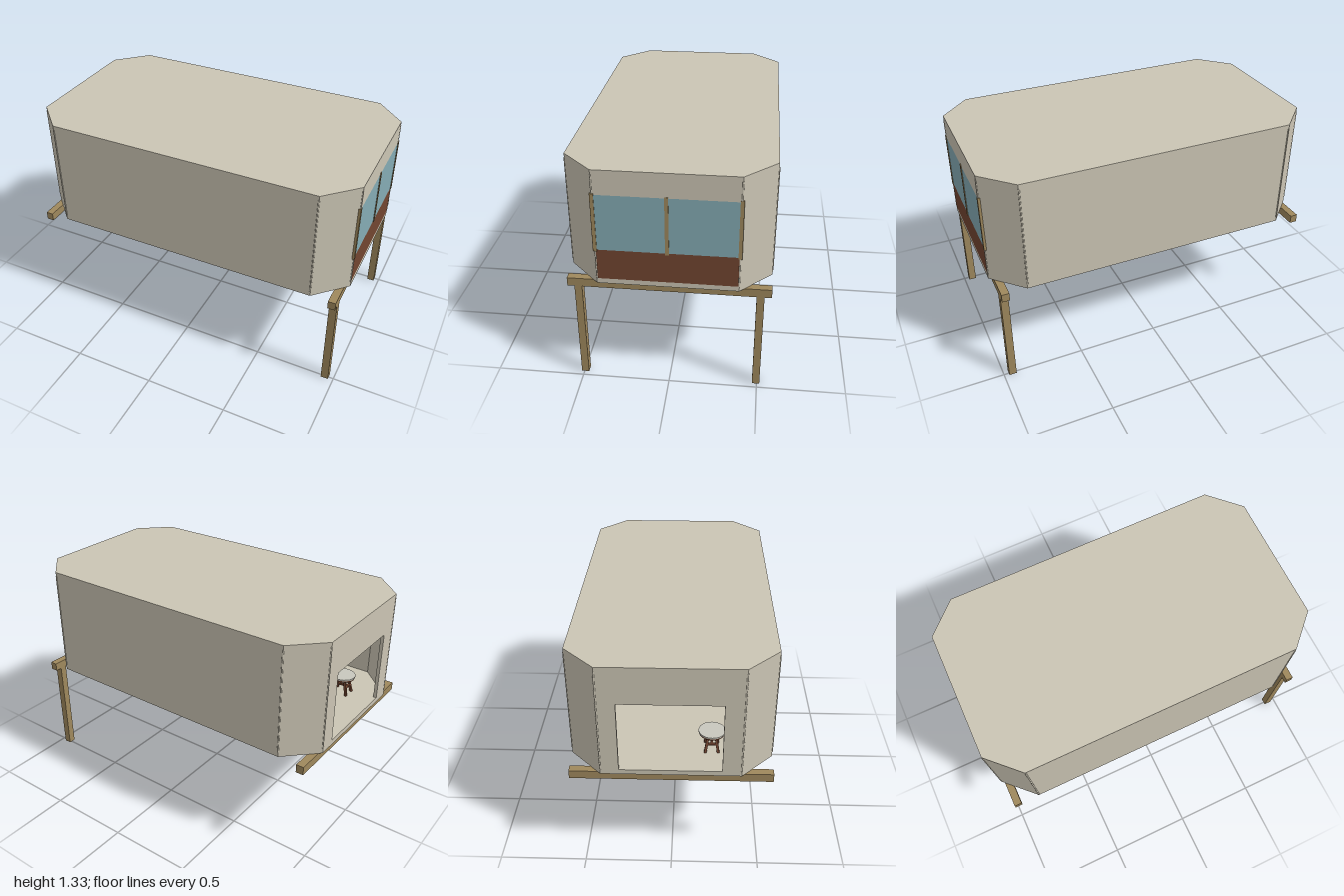
import * as THREE from 'three';

const mat = (name, color) => {
  const m = new THREE.MeshStandardMaterial({ color });
  m.name = name;
  return m;
};

export function createModel() {
  const wall = mat('warm grey wall', 0xcbc5b4);
  const wood = mat('tan timber', 0x9f885d);
  const glass = mat('blue glass', 0x85abb4);
  const brown = mat('brown panel', 0x724530);
  const pale = mat('pale table top', 0xc9c8be);

  const model = new THREE.Group();
  model.name = 'raisedCabin';
  const add = (name, geo, material, x, y, z, parent = model) => {
    const mesh = new THREE.Mesh(geo, material);
    mesh.name = name;
    mesh.position.set(x, y, z);
    parent.add(mesh);
    return mesh;
  };
  // box given by its lower and upper corners
  const block = (name, material, [x0, y0, z0], [x1, y1, z1]) =>
    add(name, new THREE.BoxGeometry(x1 - x0, y1 - y0, z1 - z0), material, (x0 + x1) / 2, (y0 + y1) / 2, (z0 + z1) / 2);

  const X = 0.997, Z = 0.555, CX = 0.82, CZ = 0.38; // octagon plan
  const Y0 = 0.655, Y1 = 0.685, Y2 = 1.305, Y3 = 1.33; // floor and roof levels
  const T = 0.02;
  const plan = [[X, -CZ], [X, CZ], [CX, Z], [-CX, Z], [-X, CZ], [-X, -CZ], [-CX, -Z], [CX, -Z]];

  // floor and roof slabs
  const slab = (name, y0, y1) => {
    const shape = new THREE.Shape(plan.map(([x, z]) => new THREE.Vector2(x, z)));
    const geo = new THREE.ExtrudeGeometry(shape, { depth: y1 - y0, bevelEnabled: false });
    geo.rotateX(-Math.PI / 2);
    add(name, geo, wall, 0, y0, 0);
  };
  slab('floor', Y0, Y1);
  slab('roof', Y2, Y3);

  // long walls, chamfered corner walls and corner strips
  plan.forEach(([ax, az], i) => {
    const [bx, bz] = plan[(i + 1) % 8];
    const dx = bx - ax, dz = bz - az, len = Math.hypot(dx, dz);
    if (i !== 0 && i !== 4) {
      const inX = -dz / len * T / 2, inZ = dx / len * T / 2;
      const panel = add(i % 2 ? 'cornerWall' : 'sideWall', new THREE.BoxGeometry(len, Y2 - Y1, T), wall,
        (ax + bx) / 2 + inX, (Y1 + Y2) / 2, (az + bz) / 2 + inZ);
      panel.rotation.y = Math.atan2(-dz, dx);
    }
    const k = 1 - 0.003 / Math.hypot(ax, az);
    add('cornerStrip', new THREE.CylinderGeometry(0.005, 0.005, Y2 - Y1, 8), wall, ax * k, (Y1 + Y2) / 2, az * k);
  });

  // window end
  block('windowHeader', wall, [X - T, 1.19, -CZ], [X, Y2, CZ]);
  block('windowGlass', glass, [X - T, 0.865, -CZ], [X, 1.19, CZ]);
  block('lowerPanel', brown, [X - T, Y1, -CZ], [X, 0.865, CZ]);
  for (const z of [-CZ, 0, CZ]) block('windowPost', wood, [0.985, 0.857, z - 0.01], [1.001, 1.197, z + 0.01]);

  // open doorway end
  block('doorHeader', wall, [-X, 1.11, -CZ], [-X + T, Y2, CZ]);
  block('doorJamb', wall, [-X, Y1, -CZ], [-X + T, 1.11, -0.28]);
  block('doorJamb', wall, [-X, Y1, 0.275], [-X + T, 1.11, CZ]);

  // support beams, with legs under one end only
  block('beam', wood, [-0.98, 0.605, -Z], [-0.935, Y0, Z]);
  block('beam', wood, [0.925, 0.605, -Z], [0.97, Y0, Z]);
  for (const z of [-0.495, 0.495]) block('leg', wood, [0.925, 0, z - 0.021], [0.97, 0.605, z + 0.021]);

  // small round table inside the doorway
  const table = new THREE.Group();
  table.name = 'table';
  table.position.set(-0.79, Y1, 0.22);
  model.add(table);
  add('tableTop', new THREE.CylinderGeometry(0.075, 0.075, 0.008, 24), pale, 0, 0.116, 0, table);
  add('tableRim', new THREE.CylinderGeometry(0.073, 0.07, 0.012, 24), brown, 0, 0.106, 0, table);
  for (const sx of [-1, 1]) for (const sz of [-1, 1]) {
    const leg = add('tableLeg', new THREE.BoxGeometry(0.014, 0.108, 0.014), brown, sx * 0.036, 0.052, sz * 0.028, table);
    leg.rotation.set(-sz * 0.15, 0, sx * 0.2);
  }
  add('tableBrace', new THREE.BoxGeometry(0.075, 0.012, 0.012), brown, 0, 0.05, 0, table);
  for (const sx of [-1, 1])
    add('tableCrossbar', new THREE.BoxGeometry(0.012, 0.012, 0.06), brown, sx * 0.036, 0.05, 0, table);

  return model;
}
